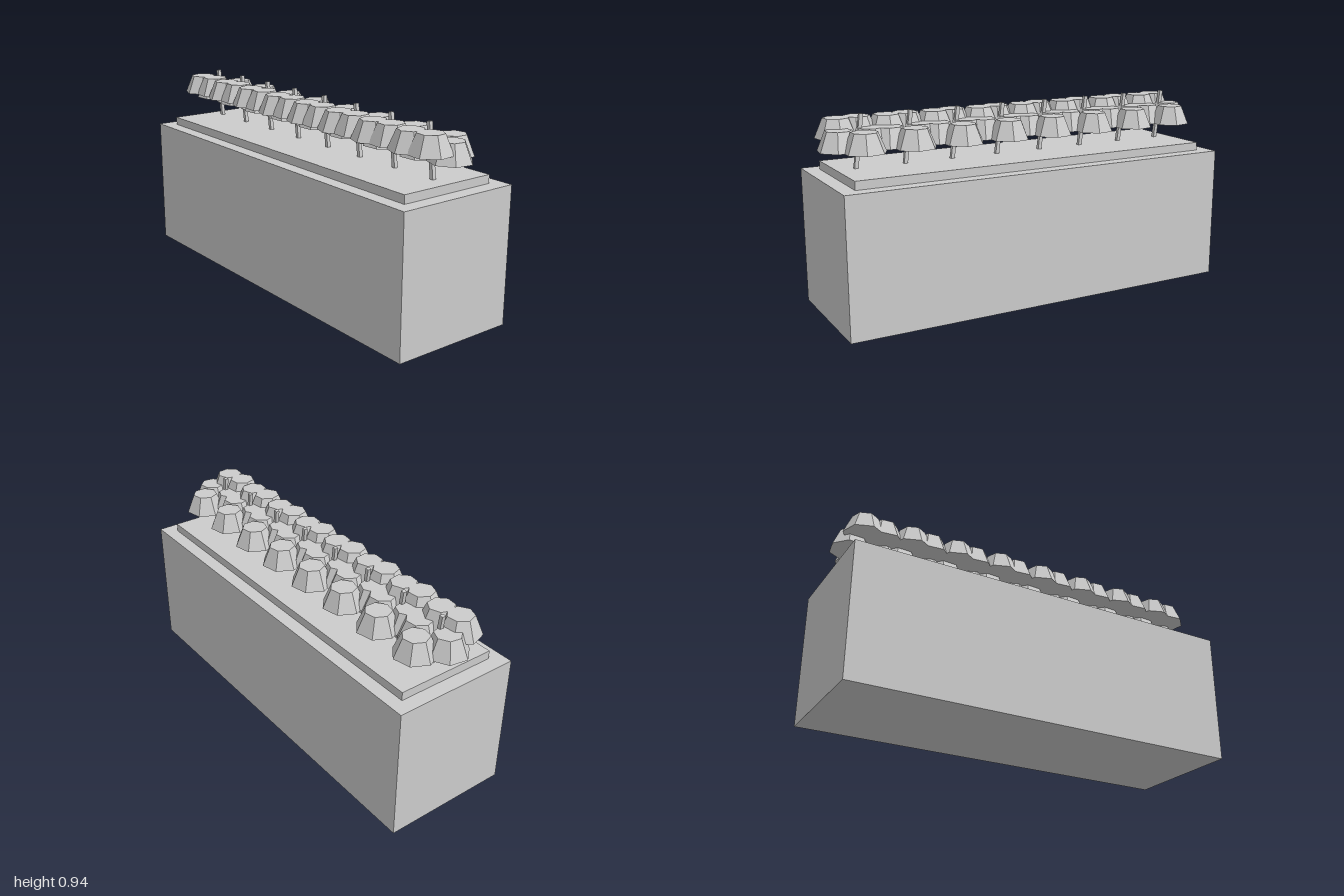
import * as THREE from 'three';

export function createModel() {
  const model = new THREE.Group();
  const grey = new THREE.MeshStandardMaterial({ color: 0xcccccc, flatShading: true });
  grey.name = 'light grey';

  const add = (parent, name, geometry, x, y, z) => {
    const mesh = new THREE.Mesh(geometry, grey);
    mesh.name = name;
    mesh.position.set(x, y, z);
    parent.add(mesh);
    return mesh;
  };

  // Planter box with a raised soil slab
  add(model, 'planterBox', new THREE.BoxGeometry(1.97, 0.65, 0.62), 0, 0.325, 0);
  add(model, 'soil', new THREE.BoxGeometry(1.83, 0.04, 0.49), 0, 0.67, 0);

  // Shared plant geometry: leaning square stem and faceted blossom
  const stem = new THREE.BoxGeometry(0.018, 0.27, 0.018);
  const blossom = new THREE.CylinderGeometry(0.061, 0.099, 0.09, 7);

  // Blossom offsets around each stem: x, centre height, z, turn
  const ring = [
    [-0.008, 0.825, -0.115, 0.2],
    [-0.075, 0.825, 0.0, 0.5],
    [0.077, 0.825, -0.018, 0.1],
    [-0.046, 0.867, 0.092, 0.1],
    [0.054, 0.867, 0.077, 0.35],
  ];

  // Row of eight plants
  for (let i = 0; i < 8; i++) {
    const plant = new THREE.Group();
    plant.name = 'plant' + (i + 1);
    plant.position.x = (i - 3.5) * 0.236;
    add(plant, 'stem', stem, -0.017, 0.8, 0).rotation.z = 0.13;
    for (const [x, y, z, turn] of ring) {
      add(plant, 'blossom', blossom, x, y, z).rotation.y = turn;
    }
    model.add(plant);
  }
  return model;
}
